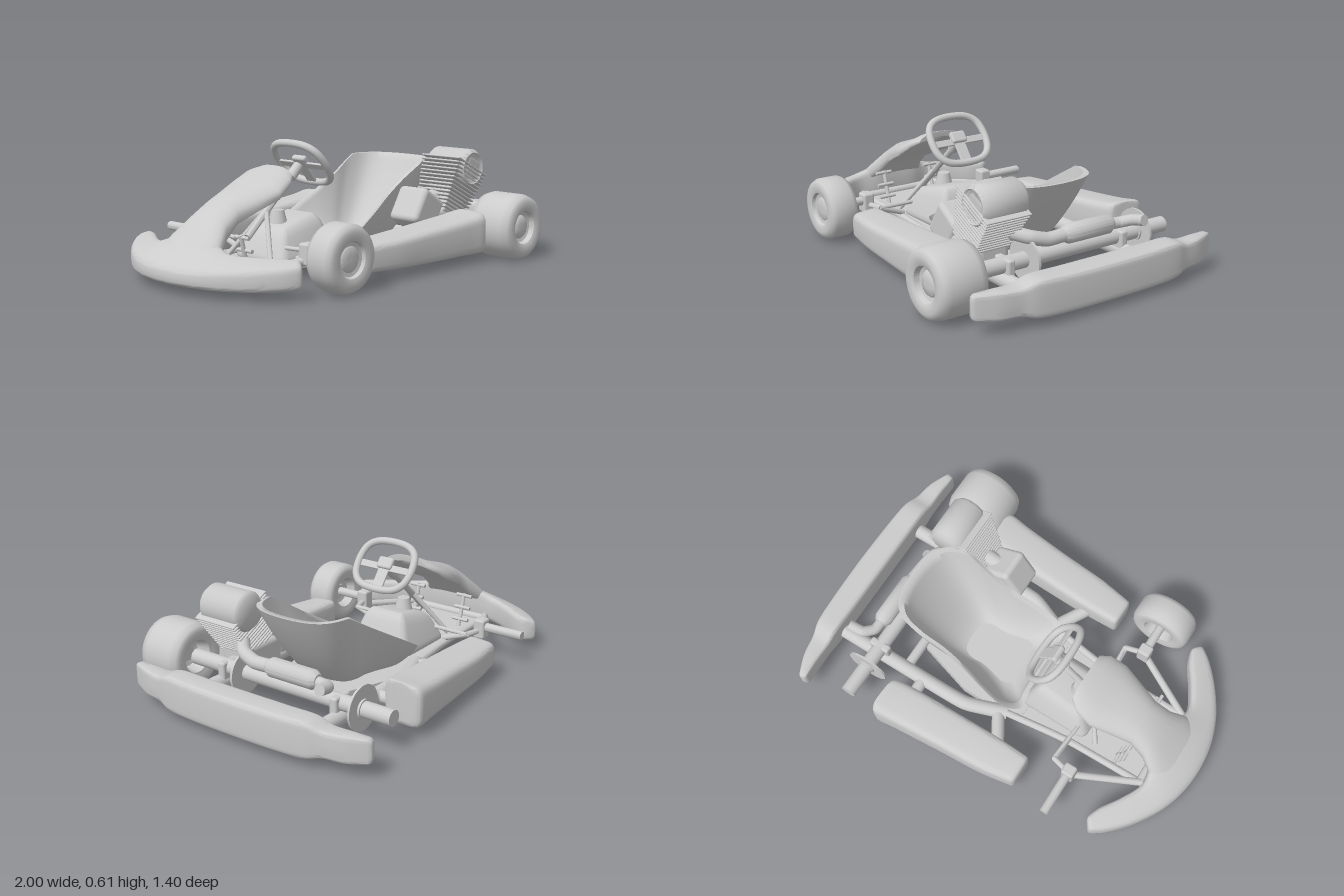
import * as THREE from 'three';
import { toCreasedNormals } from 'three/addons/utils/BufferGeometryUtils.js';
import { RoundedBoxGeometry } from 'three/addons/geometries/RoundedBoxGeometry.js';

const ZC = -0.04; // centreline of the chassis
const mat = new THREE.MeshStandardMaterial({ color: 0xcccccc });
const V = (x, y, z) => new THREE.Vector3(x, y, z);

export function createModel() {
  const root = new THREE.Group();
  const add = (name, geo, x = 0, y = 0, z = 0, parent = root) => {
    const m = new THREE.Mesh(geo, mat);
    m.name = name;
    m.position.set(x, y, z);
    parent.add(m);
    return m;
  };
  const rbox = (w, h, d, r = 0.012) => new RoundedBoxGeometry(w, h, d, 3, r);
  const zCyl = (r, len, n = 32) => new THREE.CylinderGeometry(r, r, len, n).rotateX(Math.PI / 2);
  const zLathe = (pts, crease) => toCreasedNormals(
    new THREE.LatheGeometry(pts.map((p) => new THREE.Vector2(...p)), 48).rotateX(Math.PI / 2), crease);

  // straight or bent round bar with closed ends
  const bar = (name, pts, r) => {
    const p = pts.map((q) => V(...q)), straight = p.length === 2;
    const path = straight ? new THREE.LineCurve3(...p) : new THREE.CatmullRomCurve3(p, false, 'catmullrom', 0.3);
    const n = straight ? 1 : 40, rings = [];
    const frames = path.computeFrenetFrames(n, false);
    for (let i = 0; i <= n; i++) {
      const c = path.getPointAt(i / n), ring = [];
      for (let k = 0; k < 16; k++) {
        const a = (k / 16) * Math.PI * 2;
        ring.push(c.clone().addScaledVector(frames.normals[i], r * Math.cos(a)).addScaledVector(frames.binormals[i], r * Math.sin(a)));
      }
      rings.push(ring);
    }
    return add(name, loft(rings));
  };
  // the same bar on both sides of the centreline (z is the offset from it)
  const barPair = (name, pts, r) => [1, -1].forEach((s) => bar(name, pts.map(([x, y, z]) => [x, y, ZC + s * z]), r));

  // closed skin through rings of equal length, turned so that it faces outwards
  function loft(rings, crease = 0.7) {
    const n = rings[0].length, pos = [], idx = [];
    const mean = (r) => r.reduce((s, p) => s.add(p), V(0, 0, 0)).divideScalar(n);
    const pts = [...rings.flat(), mean(rings[0]), mean(rings[rings.length - 1])];
    pts.forEach((p) => pos.push(p.x, p.y, p.z));
    const a0 = rings.length * n, last = (rings.length - 1) * n;
    for (let k = 0; k < n; k++) {
      const j = (k + 1) % n;
      for (let i = 0; i < rings.length - 1; i++) {
        const a = i * n, b = a + n;
        idx.push(a + k, a + j, b + k, a + j, b + j, b + k);
      }
      idx.push(a0, j, k, a0 + 1, last + k, last + j);
    }
    let vol = 0;
    for (let i = 0; i < idx.length; i += 3) {
      vol += pts[idx[i]].dot(pts[idx[i + 1]].clone().cross(pts[idx[i + 2]]));
    }
    if (vol < 0) idx.reverse();
    const g = new THREE.BufferGeometry();
    g.setAttribute('position', new THREE.Float32BufferAttribute(pos, 3));
    g.setIndex(idx);
    return toCreasedNormals(g, crease);
  }

  // moulded beam; station = outer x,z, inner x,z, bottom y, outer top y, inner top y
  function beam(name, st, power = 0.4) {
    const at = (t) => {
      const f = t * (st.length - 1), i = Math.min(Math.floor(f), st.length - 2), w = f - i;
      const s = (j, c) => st[Math.max(0, Math.min(st.length - 1, j))][c];
      return st[0].map((_, c) => {
        const [a, b, d, e] = [s(i - 1, c), s(i, c), s(i + 1, c), s(i + 2, c)];
        const m0 = (d - a) / 2, m1 = (e - b) / 2;
        return b + m0 * w + (3 * (d - b) - 2 * m0 - m1) * w * w + (2 * (b - d) + m0 + m1) * w * w * w;
      });
    };
    const rings = [];
    const ring = (t, k) => {
      const [ox, oz, ix, iz, y0, yo, yi] = at(t), out = [];
      for (let q = 0; q < 32; q++) {
        const a = (q / 32) * Math.PI * 2, c = Math.cos(a), s = Math.sin(a);
        const u = 0.5 + 0.5 * k * Math.sign(c) * Math.abs(c) ** power;
        const v = 0.5 + 0.5 * k * Math.sign(s) * Math.abs(s) ** power;
        out.push(V(ox + (ix - ox) * u, y0 + (yo + (yi - yo) * u - y0) * v, oz + (iz - oz) * u));
      }
      rings.push(out);
    };
    ring(0, 0.72); ring(0.006, 0.88);
    for (let i = 1; i < 48; i++) ring(i / 48, 1);
    ring(0.994, 0.88); ring(1, 0.72);
    return add(name, loft(rings, 0.9));
  }
  const flip = (st) => st.map(([a, oz, b, iz, ...y]) => [a, 2 * ZC - oz, b, 2 * ZC - iz, ...y]);
  const bothWays = (half) => [...flip(half).reverse(), ...half.slice(1)];

  // nose bumper, a crescent
  beam('noseBumper', bothWays([
    [-1, ZC, -0.78, ZC, 0.04, 0.125, 0.25], [-0.985, 0.1, -0.78, 0.07, 0.04, 0.125, 0.24],
    [-0.94, 0.23, -0.8, 0.18, 0.04, 0.13, 0.195], [-0.86, 0.36, -0.75, 0.29, 0.04, 0.14, 0.185],
    [-0.77, 0.46, -0.685, 0.39, 0.045, 0.15, 0.18], [-0.7, 0.51, -0.66, 0.46, 0.055, 0.155, 0.175]]), 0.5);

  // nose fairing rising to the steering wheel: x, top y, bottom y, half width
  const fairing = [[-0.94, 0.14, 0.08, 0.13], [-0.89, 0.185, 0.1, 0.18], [-0.82, 0.25, 0.14, 0.175], [-0.74, 0.325, 0.21, 0.13],
    [-0.66, 0.375, 0.28, 0.118], [-0.56, 0.41, 0.33, 0.145], [-0.46, 0.445, 0.375, 0.172], [-0.38, 0.485, 0.435, 0.16], [-0.335, 0.497, 0.475, 0.125]];
  add('noseFairing', loft(fairing.map(([x, yt, yb, w]) => Array.from({ length: 28 }, (_, k) => {
    const a = (k / 28) * Math.PI * 2, c = Math.cos(a), s = Math.sin(a);
    return V(x, (yt + yb) / 2 - 0.03 * c * c + (yt - yb) / 2 * Math.sign(s) * Math.abs(s) ** 0.6, ZC + w * Math.sign(c) * Math.abs(c) ** 0.7);
  })), 1));

  // side pods and rear bumper
  const pod = [[-0.28, 0.51, -0.28, 0.365, 0.055, 0.18, 0.19], [-0.1, 0.54, -0.1, 0.36, 0.05, 0.19, 0.2],
    [0.12, 0.555, 0.12, 0.365, 0.045, 0.205, 0.215], [0.36, 0.575, 0.36, 0.375, 0.045, 0.225, 0.235],
    [0.47, 0.585, 0.465, 0.39, 0.045, 0.24, 0.25], [0.495, 0.555, 0.485, 0.42, 0.06, 0.24, 0.25]];
  beam('leftPod', pod);
  beam('rightPod', flip(pod));
  beam('rearBumper', bothWays([[1, ZC, 0.87, ZC, 0.04, 0.215, 0.215], [0.995, 0.2, 0.87, 0.2, 0.04, 0.215, 0.215],
    [0.985, 0.34, 0.87, 0.34, 0.045, 0.215, 0.215], [0.965, 0.42, 0.87, 0.42, 0.065, 0.19, 0.19],
    [0.945, 0.52, 0.87, 0.52, 0.065, 0.19, 0.19], [0.9, 0.625, 0.865, 0.615, 0.075, 0.185, 0.185]]), 0.3);

  // floor tray, belly and bottom hatch
  const plate = (pts, h) => {
    const s = new THREE.Shape([...pts, ...[...pts].reverse().map(([x, z]) => [x, -z])].map((p) => new THREE.Vector2(...p)));
    return new THREE.ExtrudeGeometry(s, { depth: h, bevelEnabled: false }).rotateX(-Math.PI / 2);
  };
  add('floorTray', plate([[-0.8, 0.19], [-0.35, 0.21], [-0.02, 0.26], [0.1, 0.25]], 0.02), 0, 0.045, ZC);
  add('belly', plate([[-0.12, 0.21], [-0.02, 0.26], [0.2, 0.26], [0.48, 0.18]], 0.05), 0, 0.025, ZC).rotation.z = 0.04;
  add('hatch', rbox(0.3, 0.014, 0.26, 0.006), -0.4, 0.043, ZC);

  // chassis tubes
  barPair('frontRail', [[-0.84, 0.07, 0.2], [-0.38, 0.07, 0.21], [0, 0.08, 0.26]], 0.018);
  barPair('rearRail', [[-0.05, 0.08, 0.25], [0.05, 0.09, 0.29], [0.15, 0.1, 0.325], [0.3, 0.1, 0.33], [0.9, 0.1, 0.33]], 0.036);
  barPair('podFrontStrut', [[0, 0.08, 0.25], [-0.11, 0.1, 0.43]], 0.032);
  barPair('podRearStrut', [[0.39, 0.1, 0.32], [0.39, 0.1, 0.45]], 0.03);
  bar('frontCrossTube', [[-0.78, 0.07, ZC - 0.2], [-0.78, 0.07, ZC + 0.2]], 0.02);
  bar('rearCrossTube', [[0.5, 0.09, ZC - 0.32], [0.5, 0.09, ZC + 0.32]], 0.025);

  // front suspension and steering links
  barPair('frontStub', [[-0.475, 0.16, 0.35], [-0.475, 0.16, 0.59]], 0.022);
  barPair('frontArm', [[-0.48, 0.12, 0.36], [-0.79, 0.08, 0.2]], 0.018);
  barPair('steeringArm', [[-0.47, 0.14, 0.36], [-0.375, 0.14, 0.335]], 0.014);
  barPair('rearArm', [[-0.38, 0.14, 0.34], [-0.38, 0.09, 0.2]], 0.014);
  barPair('tieRod', [[-0.375, 0.14, 0.335], [-0.4, 0.13, 0.03]], 0.01);
  [1, -1].forEach((s) => add('knuckle', rbox(0.065, 0.1, 0.06), -0.475, 0.15, ZC + s * 0.36));

  // wheels with a recessed rim on both faces
  const wheel = (name, x, y, z, R, w) => {
    const h = w / 2;
    const profile = [[0.001, -h * 0.4], [0.035, -h * 0.4], [0.04, -h * 0.3], [0.065, -h * 0.35], [0.08, -h * 0.9], [0.095, -h * 0.92],
      [R - 0.035, -h], [R - 0.012, -h * 0.9], [R, -h * 0.6], [R, h * 0.6], [R - 0.012, h * 0.9], [R - 0.035, h], [0.092, h * 0.96],
      [0.082, h * 0.92], [0.075, h * 0.72], [0.058, h * 0.68], [0.05, h * 0.76], [0.02, h * 0.8], [0.001, h * 0.8]];
    add(name, zLathe(profile, 0.8), x, y, z);
  };
  wheel('frontWheel', -0.475, 0.16, 0.515, 0.152, 0.15);
  wheel('rearWheel', 0.65, 0.165, 0.58, 0.16, 0.24);

  // rear axle, carriers, brake disc and sprocket
  add('rearAxle', zCyl(0.037, 1.12), 0.65, 0.165, -0.08);
  add('brakeDisc', zCyl(0.105, 0.01, 48), 0.645, 0.165, -0.477);
  add('discHub', zCyl(0.044, 0.03), 0.65, 0.165, -0.477);
  add('sprocket', zCyl(0.105, 0.012, 48), 0.65, 0.165, 0.17);
  [1, -1].forEach((s) => add('axleCarrier', rbox(0.11, 0.12, 0.04), 0.65, 0.14, ZC + s * 0.32));

  // bucket seat: plan outline drawn up as a bowl, over the rim and down the inside
  const side = [[-0.1, 0.13], [-0.105, 0.21], [-0.04, 0.258], [0.07, 0.257], [0.2, 0.237], [0.33, 0.23], [0.47, 0.238], [0.58, 0.2], [0.632, 0.11]];
  const outline = new THREE.CatmullRomCurve3([...side, ...[...side].reverse().map(([x, z]) => [x, -z])].map(([x, z]) => V(x, 0, z)), true)
    .getPoints(72).slice(0, 72);
  const seatRing = (angle, inset) => outline.map((p) => {
    const rim = Math.min(0.47, 0.2 + 0.57 * p.x), low = 0.045 + inset;
    const spread = Math.sin(angle) ** 0.4 * (1 - 3 * inset), h = 1 - Math.cos(angle);
    const u = (p.x + 0.1) / 0.735 - 0.5; // -0.5 at the front, 0.5 at the back
    const length = 0.47 + 0.265 * h;
    return V(-0.06 - 0.04 * h + length * (0.5 + u * spread), low + (rim - low) * h, ZC + p.z * (0.78 + 0.22 * h) * spread);
  });
  const seat = [], steps = 18;
  for (let i = 0.25; i <= steps; i += i < 1 ? 0.25 : 1) seat.push(seatRing((i / steps) * Math.PI / 2, 0));
  const inner = seat.map((_, i) => (i < 3 ? (i + 1) / 4 : i - 2)).reverse();
  inner.forEach((i) => seat.push(seatRing((i / steps) * Math.PI / 2, 0.025)));
  add('seat', loft(seat, 1.1));

  // fuel tank, lower towards the pedals, with cap
  const tank = rbox(0.4, 0.19, 0.36, 0.05), tp = tank.attributes.position;
  for (let i = 0; i < tp.count; i++) {
    const up = tp.getY(i) / 0.19 + 0.5, k = 1 - 0.4 * up;
    tp.setXYZ(i, tp.getX(i) * k, tp.getY(i) + 0.15 * up * tp.getX(i), tp.getZ(i) * k);
  }
  add('fuelTank', toCreasedNormals(tank, 0.8), -0.26, 0.145, ZC);
  add('fuelCap', new THREE.CylinderGeometry(0.03, 0.045, 0.06, 24), -0.31, 0.255, ZC);

  // pedals
  [1, -1].forEach((s) => {
    bar('pedalArm', [[-0.62, 0.06, ZC + s * 0.14], [-0.65, 0.15, ZC + s * 0.14], [-0.67, 0.23, ZC + s * 0.14]], 0.01);
    [0.1, 0.16, 0.22].forEach((y) => bar('pedalBar', [[-0.6 - y * 0.3, y, ZC + s * 0.1], [-0.6 - y * 0.3, y, ZC + s * 0.19]], 0.009));
  });

  // steering column and wheel
  bar('steeringColumn', [[-0.17, 0.48, ZC], [-0.5, 0.18, ZC]], 0.016);
  bar('columnSleeve', [[-0.17, 0.48, ZC], [-0.225, 0.43, ZC]], 0.026);
  barPair('columnStay', [[-0.39, 0.28, 0.01], [-0.5, 0.07, 0.15]], 0.012);
  const steer = new THREE.Group();
  steer.name = 'steeringWheel';
  steer.position.set(-0.158, 0.495, -0.03);
  steer.rotation.set(0, Math.PI / 2, 0.68, 'ZYX');
  root.add(steer);
  const rimHalf = [[0.08, 0.117], [0.135, 0.082], [0.155, 0.01], [0.14, -0.075], [0.09, -0.117]];
  const rimPath = new THREE.CatmullRomCurve3([...rimHalf.map(([x, y]) => V(x, y, 0)), ...[...rimHalf].reverse().map(([x, y]) => V(-x, y, 0))], true);
  add('rim', new THREE.TubeGeometry(rimPath, 80, 0.018, 12, true), 0, 0, 0, steer);
  add('hub', rbox(0.085, 0.06, 0.03), 0, 0.01, 0, steer);
  add('crossSpoke', rbox(0.3, 0.035, 0.012, 0.004), 0, -0.01, -0.005, steer);
  add('lowerSpoke', rbox(0.06, 0.12, 0.012, 0.004), 0, -0.065, -0.005, steer);

  // engine: tilted finned cylinder with a round head, crankcase and intake
  const engine = new THREE.Group();
  engine.name = 'engine';
  engine.position.set(0.59, 0.43, 0.3);
  engine.rotation.z = -0.46;
  root.add(engine);
  for (let i = 0; i < 14; i++) {
    const k = i / 13;
    add('fin', rbox(0.255 - 0.075 * k, 0.009, 0.235 - 0.055 * k, 0.004), 0, 0.015 - 0.0185 * i, 0, engine);
  }
  add('cylinder', rbox(0.15, 0.28, 0.15), 0, -0.11, 0, engine);
  add('head', rbox(0.15, 0.15, 0.22, 0.04), 0.01, 0.01, 0, engine);
  const headProfile = [[0.001, -0.12], [0.078, -0.12], [0.095, -0.1], [0.095, 0.1], [0.078, 0.12], [0.071, 0.113], [0.001, 0.113]];
  add('headCover', zLathe(headProfile, 0.9), 0.6, 0.435, 0.295);
  add('intakeBox', rbox(0.17, 0.18, 0.17, 0.025), 0.305, 0.25, 0.295).rotation.z = -0.55;
  add('crankcase', rbox(0.24, 0.16, 0.17, 0.03), 0.47, 0.17, 0.29);
  bar('intakeNeck', [[0.36, 0.28, 0.29], [0.52, 0.31, 0.29]], 0.04);

  // exhaust
  bar('exhaustPipe', [[0.6, 0.29, 0.23], [0.67, 0.27, 0.16], [0.69, 0.25, 0.08], [0.695, 0.255, -0.02]], 0.032);
  const can = [[0.001, -0.14], [0.03, -0.14], [0.045, -0.115], [0.045, 0.115], [0.03, 0.14], [0.001, 0.14]];
  add('muffler', zLathe(can, 0.6), 0.695, 0.255, -0.14);
  bar('tailPipe', [[0.695, 0.25, -0.26], [0.7, 0.25, -0.32], [0.74, 0.265, -0.365], [0.81, 0.28, -0.375]], 0.026);
  return root;
}
